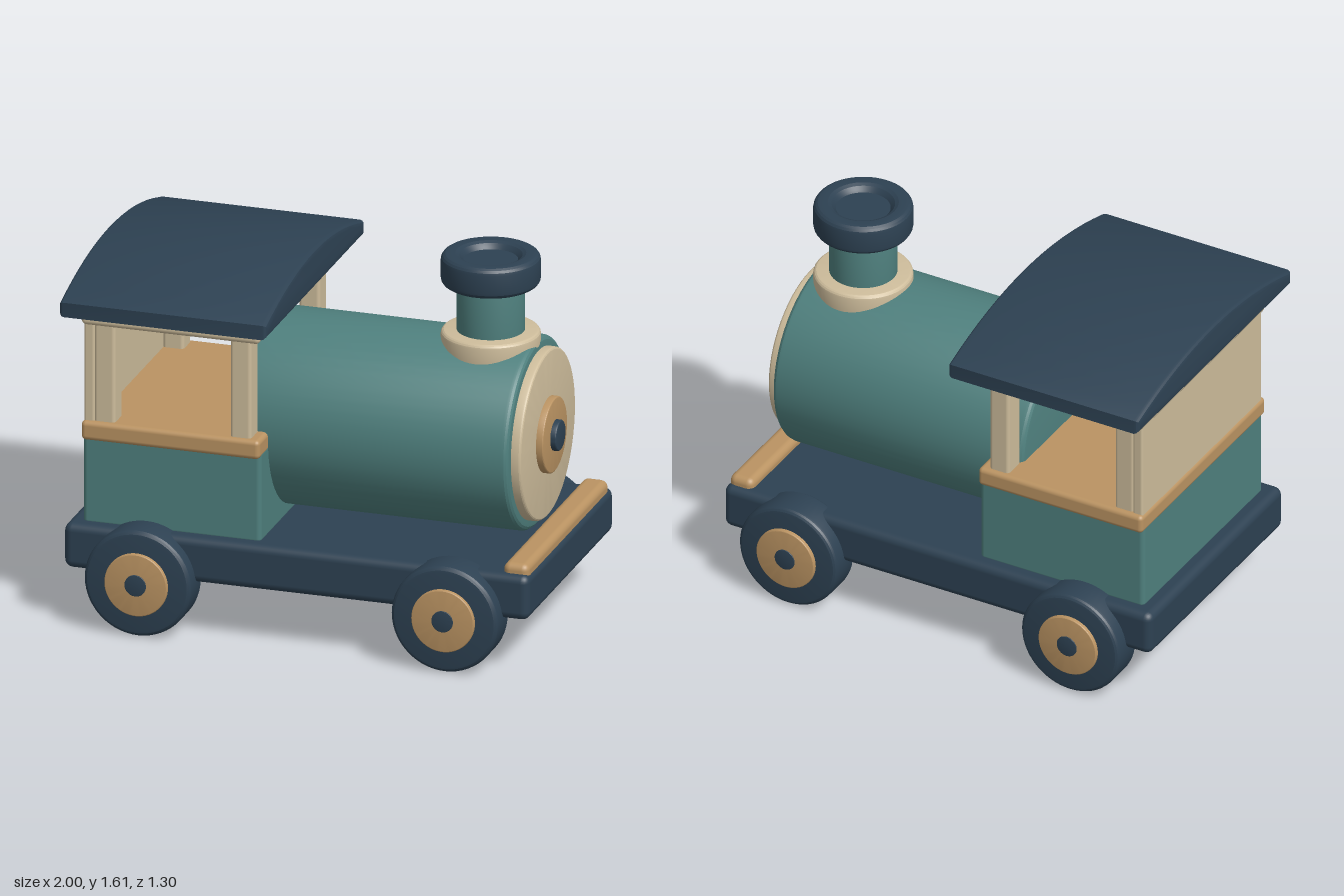
import * as THREE from 'three';
import { toCreasedNormals } from 'three/addons/utils/BufferGeometryUtils.js';
import { RoundedBoxGeometry } from 'three/addons/geometries/RoundedBoxGeometry.js';

const paint = (name, color) => {
  const m = new THREE.MeshStandardMaterial({ color });
  m.name = name;
  return m;
};

export function createModel() {
  const navy = paint('navy', 0x2d4152);
  const teal = paint('teal', 0x4f807e);
  const cream = paint('cream', 0xcdbc9b);
  const wood = paint('wood', 0xba9362);

  const model = new THREE.Group();
  model.name = 'toyTrain';

  const add = (name, geometry, material, parent = model) => {
    const mesh = new THREE.Mesh(geometry, material);
    mesh.name = name;
    parent.add(mesh);
    return mesh;
  };

  // Rounded block given by its extents
  const block = (name, material, [x0, x1], [y0, y1], [z0, z1], r) => {
    const mesh = add(name, new RoundedBoxGeometry(x1 - x0, y1 - y0, z1 - z0, 3, r), material);
    mesh.position.set((x0 + x1) / 2, (y0 + y1) / 2, (z0 + z1) / 2);
    return mesh;
  };

  const lathe = (points) => toCreasedNormals(
    new THREE.LatheGeometry(points.map(([r, y]) => new THREE.Vector2(r, y)), 56), 0.3);

  // Rounded edge profile from the outer wall to the top face
  const edge = (r, y, b) => [0, 1, 2, 3, 4].map((i) => {
    const a = (i / 4) * Math.PI / 2;
    return [r - b + b * Math.cos(a), y - b + b * Math.sin(a)];
  });

  // Solid disc from y0 to y1 with rounded rims
  const disc = (r, y0, y1, b) => lathe([
    [0, y0],
    ...edge(r, 0, b).reverse().map(([x, y]) => [x, y0 - y]),
    ...edge(r, y1, b),
    [0, y1],
  ]);

  // Chassis and front bumper
  block('chassis', navy, [-1, 1], [0.24, 0.435], [-0.56, 0.56], 0.035);
  block('bumper', wood, [0.88, 0.99], [0.4, 0.475], [-0.53, 0.53], 0.03);

  // Wheels with hubs, joined by axles
  for (const x of [-0.66, 0.66]) {
    const axle = add('axle', new THREE.CylinderGeometry(0.055, 0.055, 1, 32), navy);
    axle.rotation.x = Math.PI / 2;
    axle.position.set(x, 0.235, 0);
    for (const side of [1, -1]) {
      const wheel = new THREE.Group();
      wheel.name = side > 0 ? 'leftWheel' : 'rightWheel';
      add('tyre', disc(0.23, 0.47, 0.63, 0.025), navy, wheel);
      add('hub', disc(0.135, 0.6, 0.648, 0.006), wood, wheel);
      add('hubCap', disc(0.046, 0.62, 0.652, 0.002), navy, wheel);
      wheel.rotation.x = side * Math.PI / 2;
      wheel.position.set(x, 0.235, 0);
      model.add(wheel);
    }
  }

  // Boiler and its round front, built along +x
  const boiler = new THREE.Group();
  boiler.name = 'boiler';
  boiler.rotation.z = -Math.PI / 2;
  boiler.position.y = 0.85;
  model.add(boiler);
  add('boilerBarrel', disc(0.405, -0.315, 0.86, 0.03), teal, boiler);
  add('frontPlate', disc(0.36, 0.83, 0.902, 0.015), cream, boiler);
  add('frontRing', disc(0.16, 0.88, 0.932, 0.008), wood, boiler);
  add('frontKnob', disc(0.065, 0.91, 0.957, 0.008), navy, boiler);

  // Chimney: collar, stack and dished cap
  const chimney = new THREE.Group();
  chimney.name = 'chimney';
  chimney.position.x = 0.655;
  model.add(chimney);
  add('collar', disc(0.205, 1.17, 1.283, 0.02), cream, chimney);
  add('stack', disc(0.14, 1.2, 1.52, 0.01), teal, chimney);
  add('chimneyCap', lathe([
    [0, 1.48],
    ...edge(0.205, 0, 0.03).reverse().map(([x, y]) => [x, 1.48 - y]),
    ...edge(0.205, 1.615, 0.03),
    [0.145, 1.613], [0.13, 1.606], [0.118, 1.594], [0.112, 1.585], [0, 1.585],
  ]), navy, chimney);

  // Cab body, sill, back wall, posts and top frame
  block('cabBody', teal, [-0.935, -0.17], [0.42, 0.82], [-0.5, 0.5], 0.02);
  block('cabSill', wood, [-0.938, -0.17], [0.792, 0.875], [-0.52, 0.52], 0.02);
  block('cabBackWall', cream, [-0.93, -0.885], [0.86, 1.31], [-0.5, 0.5], 0.01);
  for (const x of [-0.843, -0.258]) {
    for (const side of [1, -1]) {
      const post = block('cabPost', cream, [-0.045, 0.045], [0.86, 1.31], [-0.05, 0.05], 0.015);
      post.position.x = x;
      post.position.z = side * 0.447;
    }
  }
  block('cabTopFrame', cream, [-0.938, -0.17], [1.295, 1.38], [-0.52, 0.52], 0.02);

  // Arched roof with a flat underside and softened edges
  const b = 0.02;
  const half = 0.645 - b;
  const arch = new THREE.Shape();
  arch.moveTo(-half, 1.37 + b);
  arch.lineTo(half, 1.37 + b);
  for (let i = 0; i <= 16; i++) {
    const t = 1 - i / 8;
    arch.lineTo(half * t, 1.518 - 0.1 * t * t);
  }
  const roof = new THREE.ExtrudeGeometry(arch, {
    depth: 0.89 - 2 * b, bevelThickness: b, bevelSize: b, bevelSegments: 3,
  });
  roof.rotateY(Math.PI / 2);
  roof.translate(-0.99 + b, 0, 0);
  add('roof', toCreasedNormals(roof, 0.3), navy);

  return model;
}
